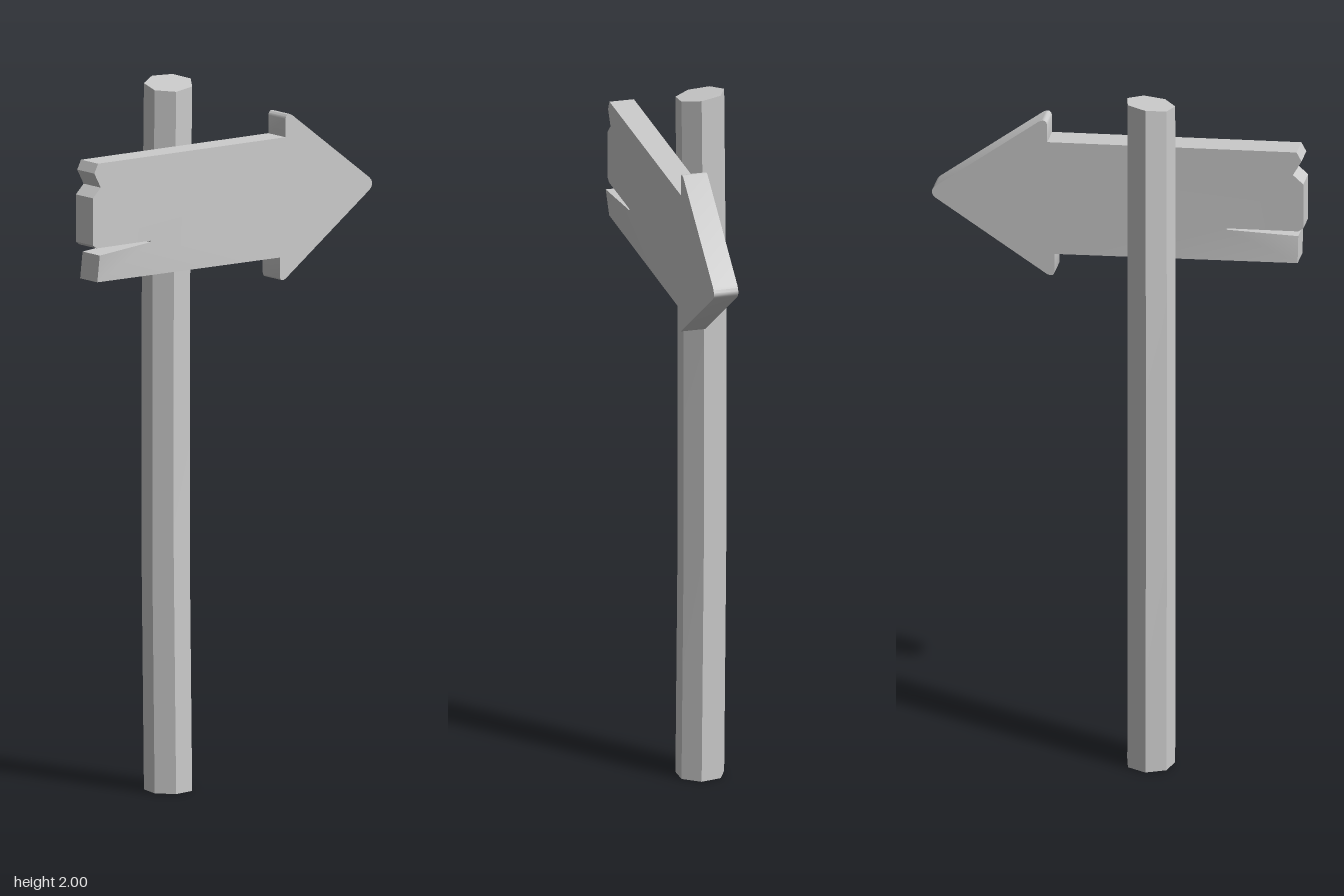
import * as THREE from 'three';
import { toCreasedNormals } from 'three/addons/utils/BufferGeometryUtils.js';

const POST_X = -0.11, POST_Z = -0.04;

// Seven-sided post, slightly bowed backwards, with a slanted cut on top
function createPost(material) {
  const height = 2, rows = 3;
  const geometry = new THREE.CylinderGeometry(0.069, 0.069, height, 7, rows, false, Math.PI);
  geometry.translate(0, height / 2, 0);
  const p = geometry.attributes.position;
  for (let i = 0; i < p.count; i++) {
    const x = p.getX(i), y = p.getY(i), z = p.getZ(i);
    const bow = Math.sin((y / height) * Math.PI);
    if (y > height - 0.001) p.setY(i, Math.min(2, 1.99 + 0.1 * x - 0.13 * z));
    p.setX(i, x + POST_X - 0.003 * bow);
    p.setZ(i, z + POST_Z - 0.008 * bow);
  }
  const post = new THREE.Mesh(toCreasedNormals(geometry, 0.4), material);
  post.name = 'post';
  return post;
}

// Arrow board with a chipped, split tail
function createBoard(material) {
  const back = 0.034, depth = 0.07;
  const shape = new THREE.Shape();
  // chipped tail end, from the top corner down to the split
  shape.moveTo(-0.506, 1.844);
  shape.lineTo(-0.52, 1.818);
  shape.lineTo(-0.496, 1.775);
  shape.lineTo(-0.525, 1.749);
  shape.lineTo(-0.525, 1.616);
  shape.lineTo(-0.511, 1.606);
  // narrow split
  shape.lineTo(-0.31, 1.598);
  shape.lineTo(-0.31, 1.594);
  shape.lineTo(-0.509, 1.587);
  shape.lineTo(-0.509, 1.51);
  // lower edge and lower barb
  shape.lineTo(0.172, 1.479);
  shape.lineTo(0.172, 1.428);
  shape.quadraticCurveTo(0.173, 1.408, 0.193, 1.416);
  // rounded arrow tip
  shape.lineTo(0.506, 1.62);
  shape.quadraticCurveTo(0.528, 1.637, 0.506, 1.656);
  // upper barb
  shape.lineTo(0.218, 1.874);
  shape.quadraticCurveTo(0.197, 1.887, 0.193, 1.866);
  shape.lineTo(0.193, 1.815);

  const geometry = new THREE.ExtrudeGeometry(shape, { depth, bevelEnabled: false, curveSegments: 5 });
  geometry.translate(0, 0, back);
  // the split-off corner of the lower strip springs forward
  const p = geometry.attributes.position;
  for (let i = 0; i < p.count; i++) {
    if (Math.hypot(p.getX(i) + 0.509, p.getY(i) - 1.587) < 0.002) p.setZ(i, p.getZ(i) + 0.01);
  }
  const board = new THREE.Mesh(toCreasedNormals(geometry, 0.7), material);
  board.name = 'arrowBoard';
  return board;
}

export function createModel() {
  const material = new THREE.MeshStandardMaterial({ color: 0xcccccc });
  const group = new THREE.Group();
  group.name = 'signpost';
  group.add(createPost(material), createBoard(material));
  return group;
}
